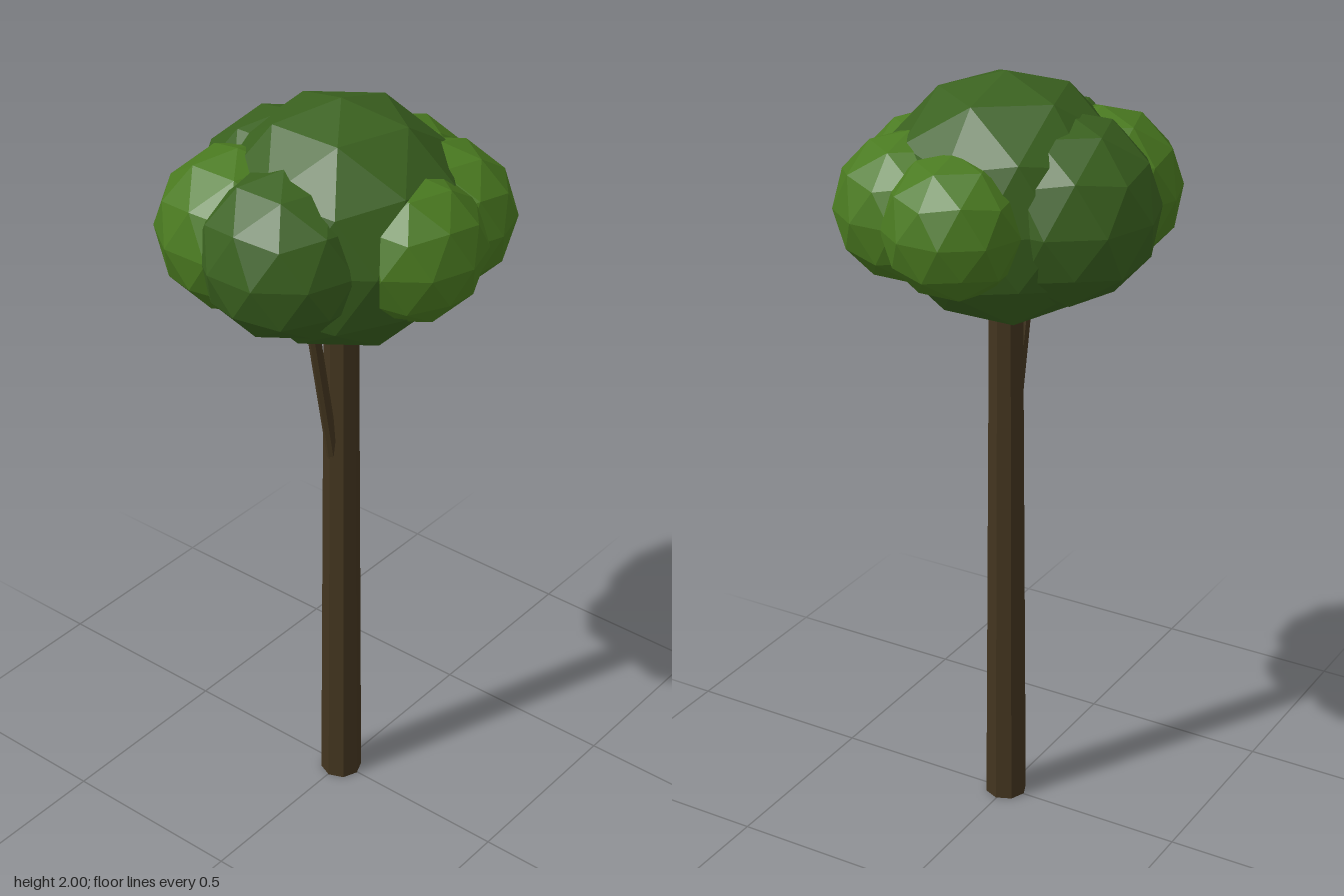
import * as THREE from 'three';

const material = (color) => new THREE.MeshStandardMaterial({ color, flatShading: true, roughness: 1 });

export function createModel() {
  const tree = new THREE.Group();
  tree.name = 'tree';
  const bark = material(0x43351f);
  const darkLeaf = material(0x3a611f);
  const lightLeaf = material(0x4a7a20);

  const add = (name, geometry, mat, x, y, z) => {
    const mesh = new THREE.Mesh(geometry, mat);
    mesh.name = name;
    mesh.position.set(x, y, z);
    tree.add(mesh);
    return mesh;
  };

  // Tapered eight-sided trunk, its top hidden in the crown
  const trunkHeight = 1.6;
  const trunk = new THREE.CylinderGeometry(0.042, 0.055, trunkHeight, 8);
  add('trunk', trunk, bark, -0.002, trunkHeight / 2, 0.002);

  // Thin side branch leaning out from the trunk into the crown
  const from = new THREE.Vector3(-0.02, 0.97, 0);
  const to = new THREE.Vector3(-0.145, 1.63, 0);
  const along = to.clone().sub(from);
  const mid = from.clone().add(to).multiplyScalar(0.5);
  const branch = add('branch', new THREE.CylinderGeometry(0.016, 0.016, along.length(), 8), bark, mid.x, mid.y, mid.z);
  branch.quaternion.setFromUnitVectors(new THREE.Vector3(0, 1, 0), along.normalize());

  // Crown: faceted spheres standing on a corner, all at one height
  const crownY = 1.6875;
  const clumps = [
    ['crownCore', 0, 0, 0.3125, darkLeaf],
    ['leftClump', 0.236, 0, 0.178, lightLeaf],
    ['frontLeftClump', 0.17, 0.163, 0.187, lightLeaf],
    ['frontClump', 0, 0.203, 0.187, lightLeaf],
    ['rightClump', -0.205, 0, 0.21, darkLeaf],
    ['backRightClump', -0.18, -0.161, 0.204, lightLeaf],
    ['backClump', 0, -0.157, 0.238, darkLeaf],
  ];
  const poleTilt = Math.atan((1 + Math.sqrt(5)) / 2);
  for (const [name, x, z, radius, mat] of clumps) {
    const sphere = new THREE.IcosahedronGeometry(radius, 1).rotateX(-poleTilt).rotateY(Math.PI / 2);
    add(name, sphere, mat, x, crownY, z);
  }
  return tree;
}
